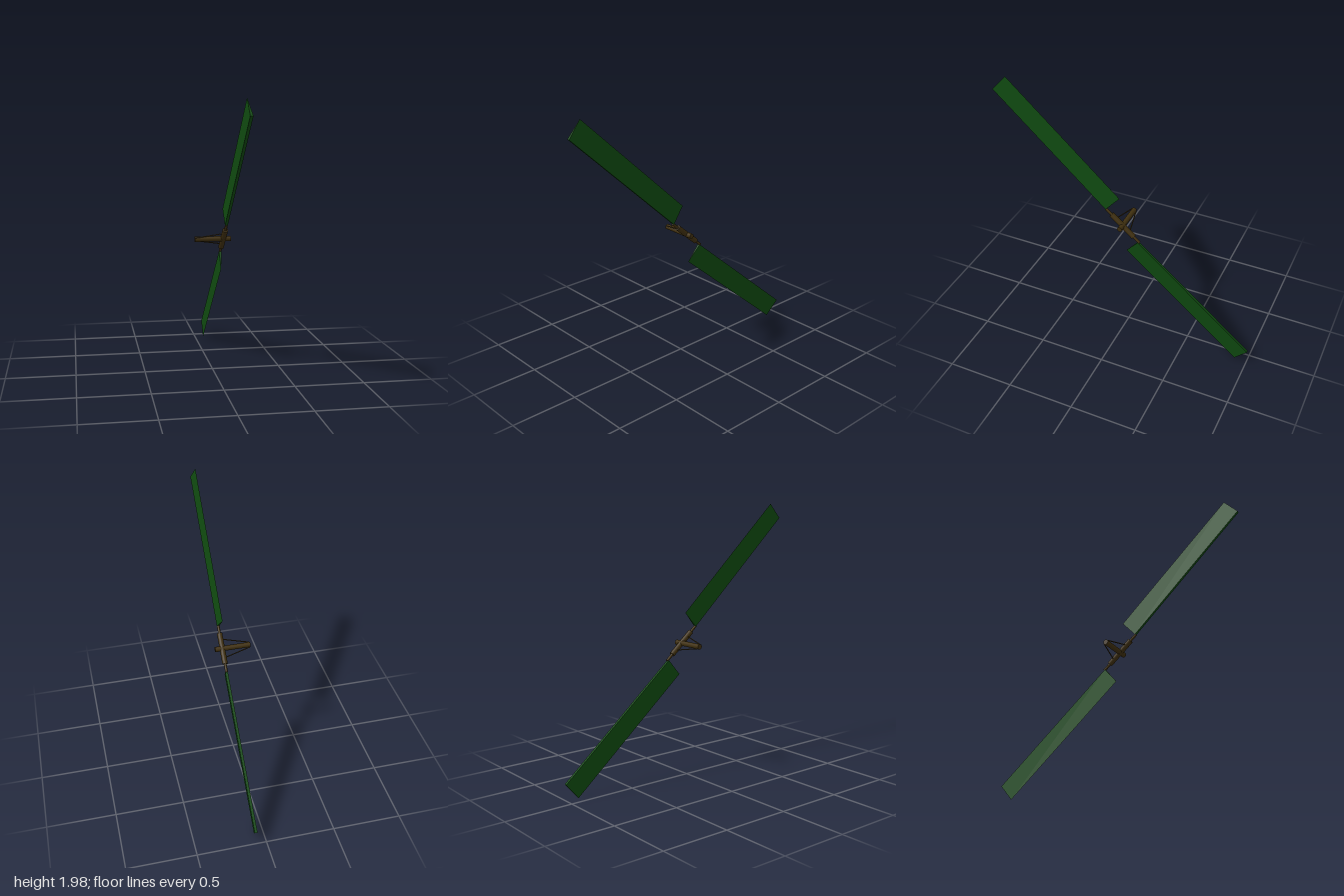
import * as THREE from 'three';

export function createModel() {
  const model = new THREE.Group();
  model.name = 'rotor';
  const green = new THREE.MeshStandardMaterial({ color: 0x0f4a10 });
  green.name = 'bladeGreen';
  const brown = new THREE.MeshStandardMaterial({ color: 0x40300f });
  brown.name = 'hubBrown';

  const hubX = 0.077, cy = 0.977, cz = 0.014;
  const hubAngle = THREE.MathUtils.degToRad(40.6);
  // Point at distance d from the axis along the hub bar
  const onBar = (x, d) => new THREE.Vector3(x, cy + d * Math.sin(hubAngle), cz + d * Math.cos(hubAngle));

  function rod(name, a, b, r, sides = 12) {
    const dir = b.clone().sub(a);
    const mesh = new THREE.Mesh(new THREE.CylinderGeometry(r, r, dir.length(), sides), brown);
    mesh.position.copy(a).add(b).multiplyScalar(0.5);
    mesh.quaternion.setFromUnitVectors(new THREE.Vector3(0, 1, 0), dir.normalize());
    mesh.name = name;
    model.add(mesh);
  }

  // Mast and crossing hub bar
  rod('mast', onBar(-0.131, 0), onBar(0.131, 0), 0.019, 16);
  rod('hubBar', onBar(hubX, -0.115), onBar(hubX, 0.115), 0.02, 16);

  // Blade spindles and pitch links, one pair per side
  for (const s of [-1, 1]) {
    rod('spindle', onBar(hubX, s * 0.1), onBar(hubX, s * 0.176), 0.01);
    rod('pitchLink', onBar(-0.127, s * 0.018), onBar(hubX, s * 0.071), 0.004, 8);
  }

  // Wedge blade: thick leading edge, sharp trailing edge, swept from tip to root
  function blade(name, side, degrees, length, tipY, tipZ) {
    const chord = 0.149, a = THREE.MathUtils.degToRad(degrees);
    const section = new THREE.Shape([
      new THREE.Vector2(0, 0), new THREE.Vector2(chord, 0), new THREE.Vector2(0, 0.02),
    ]);
    const geo = new THREE.ExtrudeGeometry(section, { depth: length, bevelEnabled: false });
    const chordDir = new THREE.Vector3(0, Math.cos(a), -Math.sin(a)).multiplyScalar(side);
    const spanDir = new THREE.Vector3(0, Math.sin(a), Math.cos(a)).multiplyScalar(-side);
    geo.applyMatrix4(new THREE.Matrix4()
      .makeBasis(chordDir, new THREE.Vector3(1, 0, 0), spanDir)
      .setPosition(0.067, tipY, tipZ));
    const mesh = new THREE.Mesh(geo, green);
    mesh.name = name;
    model.add(mesh);
  }
  blade('upperBlade', 1, 42.3, 1.158, 1.868, 1.0);
  blade('lowerBlade', -1, 40.1, 1.164, 0.115, -1.0);

  return model;
}
